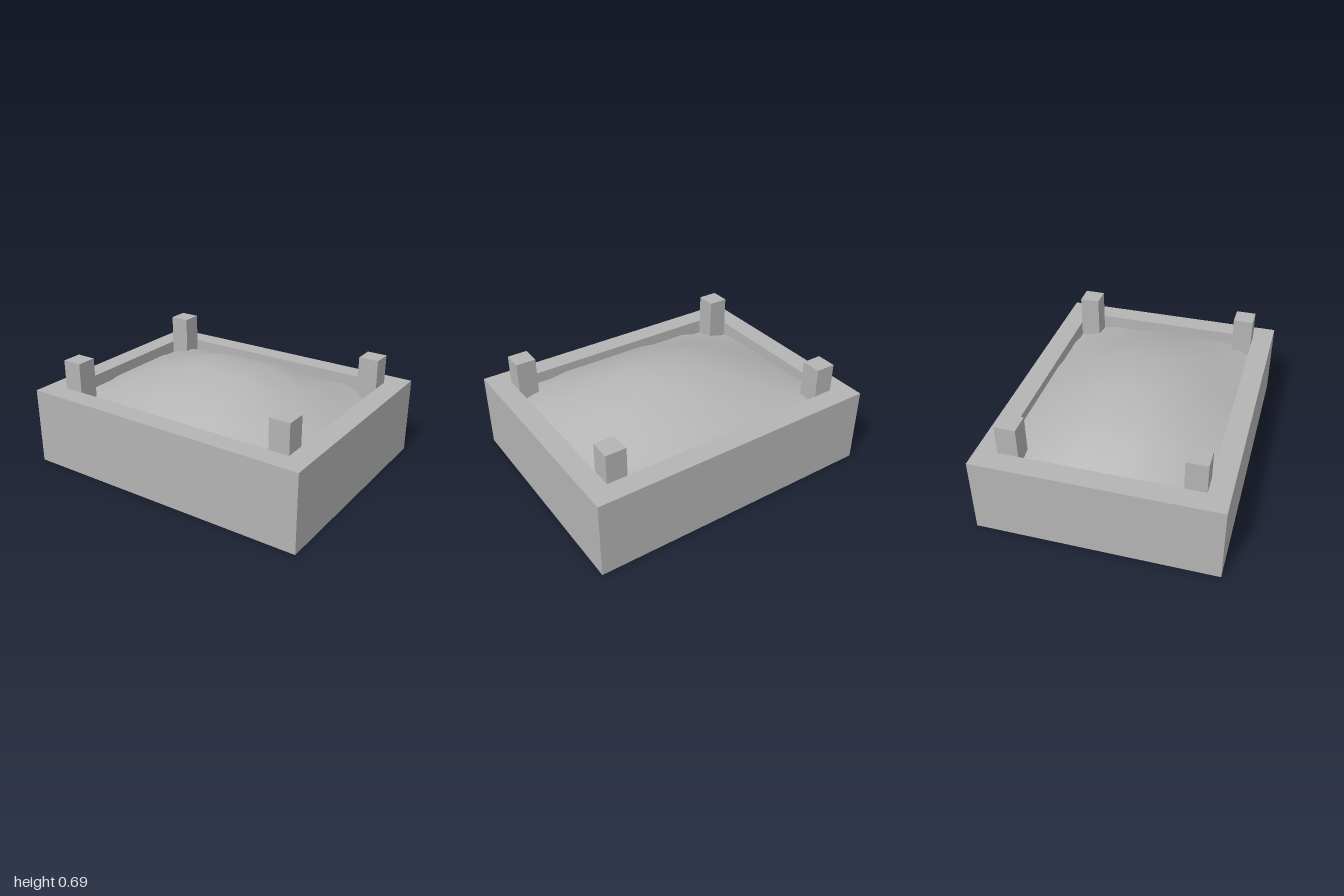
import * as THREE from 'three';

const W = 1.503, L = 1.913;      // outer size of the box
const WALL = 0.134, RIM = 0.5;   // wall thickness and rim height
const POST = 0.13, POST_TOP = 0.69;
const FLOOR = 0.03;              // recess of the underside

export function createModel() {
  const model = new THREE.Group();
  const grey = new THREE.MeshStandardMaterial({ color: 0xb4b4b4 });
  grey.name = 'plain grey';

  // The whole planter stands slightly turned
  const planter = new THREE.Group();
  planter.name = 'planter';
  planter.rotation.y = THREE.MathUtils.degToRad(3.4);
  model.add(planter);

  const add = (name, geometry, x = 0, y = 0, z = 0) => {
    const mesh = new THREE.Mesh(geometry, grey);
    mesh.name = name;
    mesh.position.set(x, y, z);
    planter.add(mesh);
  };

  // Four walls as one frame, open at top and bottom
  const iw = W / 2 - WALL, il = L / 2 - WALL;
  const rectangle = (Type, a, b) => {
    const path = new Type();
    path.moveTo(-a, -b);
    path.lineTo(a, -b);
    path.lineTo(a, b);
    path.lineTo(-a, b);
    path.closePath();
    return path;
  };
  const outline = rectangle(THREE.Shape, W / 2, L / 2);
  outline.holes.push(rectangle(THREE.Path, iw, il));
  const walls = new THREE.ExtrudeGeometry(outline, { depth: RIM, bevelEnabled: false });
  walls.rotateX(-Math.PI / 2);
  add('walls', walls);

  // Soil: a flat-bottomed slab set into the walls, its top raised to a dome
  const sw = 1.4, sl = 1.78, edge = 0.4, rise = 0.26;
  const soil = new THREE.BoxGeometry(sw, edge - FLOOR, sl, 5, 1, 5);
  soil.translate(0, (edge + FLOOR) / 2, 0);
  const p = soil.attributes.position;
  for (let i = 0; i < p.count; i++) {
    if (p.getY(i) < edge - 0.01) continue;
    const dome = Math.cos(Math.PI * p.getX(i) / sw) * Math.cos(Math.PI * p.getZ(i) / sl);
    p.setY(i, edge + rise * dome);
  }
  soil.computeVertexNormals();
  add('soilMound', soil);

  // Corner posts standing in the inner corners
  const height = POST_TOP - FLOOR - 0.02;
  const post = new THREE.BoxGeometry(POST, height, POST);
  for (const sx of [-1, 1]) {
    for (const sz of [-1, 1]) {
      const name = (sz > 0 ? 'front' : 'back') + (sx > 0 ? 'Left' : 'Right') + 'Post';
      add(name, post, sx * (iw - POST / 2), POST_TOP - height / 2, sz * (il - POST / 2));
    }
  }
  return model;
}
